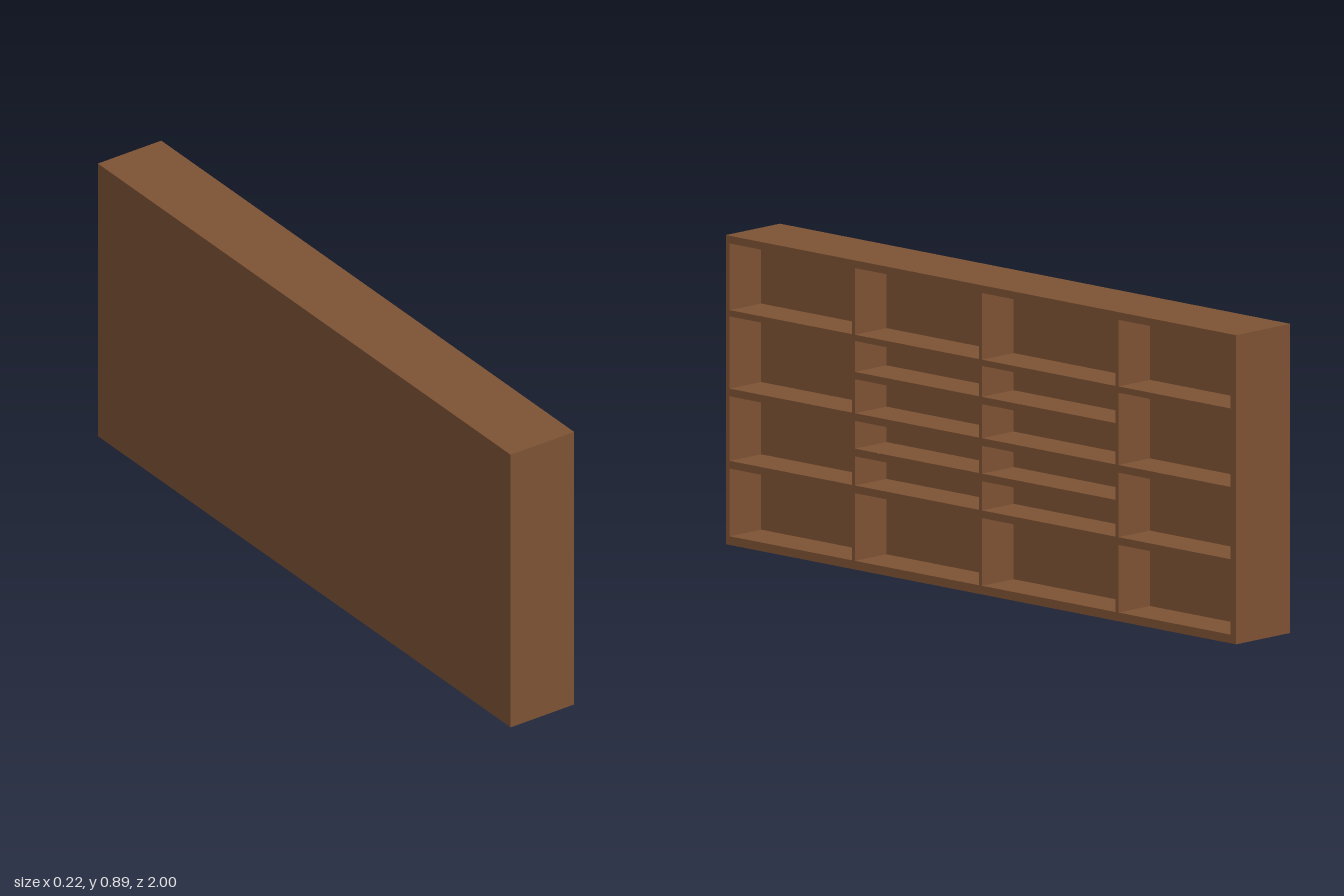
import * as THREE from 'three';

const WIDTH = 0.22, HEIGHT = 0.89, LENGTH = 2;
const FRONT = WIDTH / 2, DEPTH = 0.128, BACK = FRONT - DEPTH;

// Compartment openings: [low, high] along z and y
const outerColumns = [[0.505, 0.985], [-0.978, -0.539]];
const innerColumns = [[0.007, 0.494], [-0.528, -0.004]];
const outerRows = [[0.025, 0.22], [0.242, 0.428], [0.45, 0.658], [0.676, 0.868]];
const innerRows = [[0.025, 0.22], [0.242, 0.326], [0.348, 0.428], [0.45, 0.548], [0.569, 0.658], [0.676, 0.868]];

function listCells() {
  const cells = [];
  for (const [columns, rows] of [[outerColumns, outerRows], [innerColumns, innerRows]])
    for (const [z0, z1] of columns)
      for (const [y0, y1] of rows) cells.push({ z0, z1, y0, y1 });
  return cells;
}

// Rectangle outline in the shelf face plane, where shape x runs along -z
function rectangle(path, z0, z1, y0, y1) {
  path.moveTo(-z1, y0);
  path.lineTo(-z0, y0);
  path.lineTo(-z0, y1);
  path.lineTo(-z1, y1);
  path.closePath();
  return path;
}

export function createModel() {
  const group = new THREE.Group();
  group.name = 'shelfUnit';
  const wood = new THREE.MeshStandardMaterial({ color: 0x7d5234 });
  const grey = new THREE.MeshStandardMaterial({ color: 0xcccccc });
  const cells = listCells();

  const add = (name, geometry, material, x = 0, y = 0, z = 0) => {
    const mesh = new THREE.Mesh(geometry, material);
    mesh.name = name;
    mesh.position.set(x, y, z);
    group.add(mesh);
    return mesh;
  };

  // Shelves, dividers and outer frame in one pierced slab, opening toward +x
  const face = rectangle(new THREE.Shape(), -LENGTH / 2, LENGTH / 2, 0, HEIGHT);
  for (const c of cells) face.holes.push(rectangle(new THREE.Path(), c.z0, c.z1, c.y0, c.y1));
  const slab = new THREE.ExtrudeGeometry(face, { depth: DEPTH, bevelEnabled: false });
  slab.rotateY(Math.PI / 2);
  add('shelfFrame', slab, wood, BACK);

  // Solid back closing the compartments
  const backWidth = WIDTH - DEPTH;
  add('backPanel', new THREE.BoxGeometry(backWidth, HEIGHT, LENGTH), wood,
    -FRONT + backWidth / 2, HEIGHT / 2, 0);

  // Thin light strip under the ceiling of every compartment
  for (const c of cells) {
    const strip = new THREE.BoxGeometry(0.05, 0.002, c.z1 - c.z0);
    add('lightStrip', strip, grey, 0.045, c.y1 - 0.001, (c.z0 + c.z1) / 2);
  }
  return group;
}
